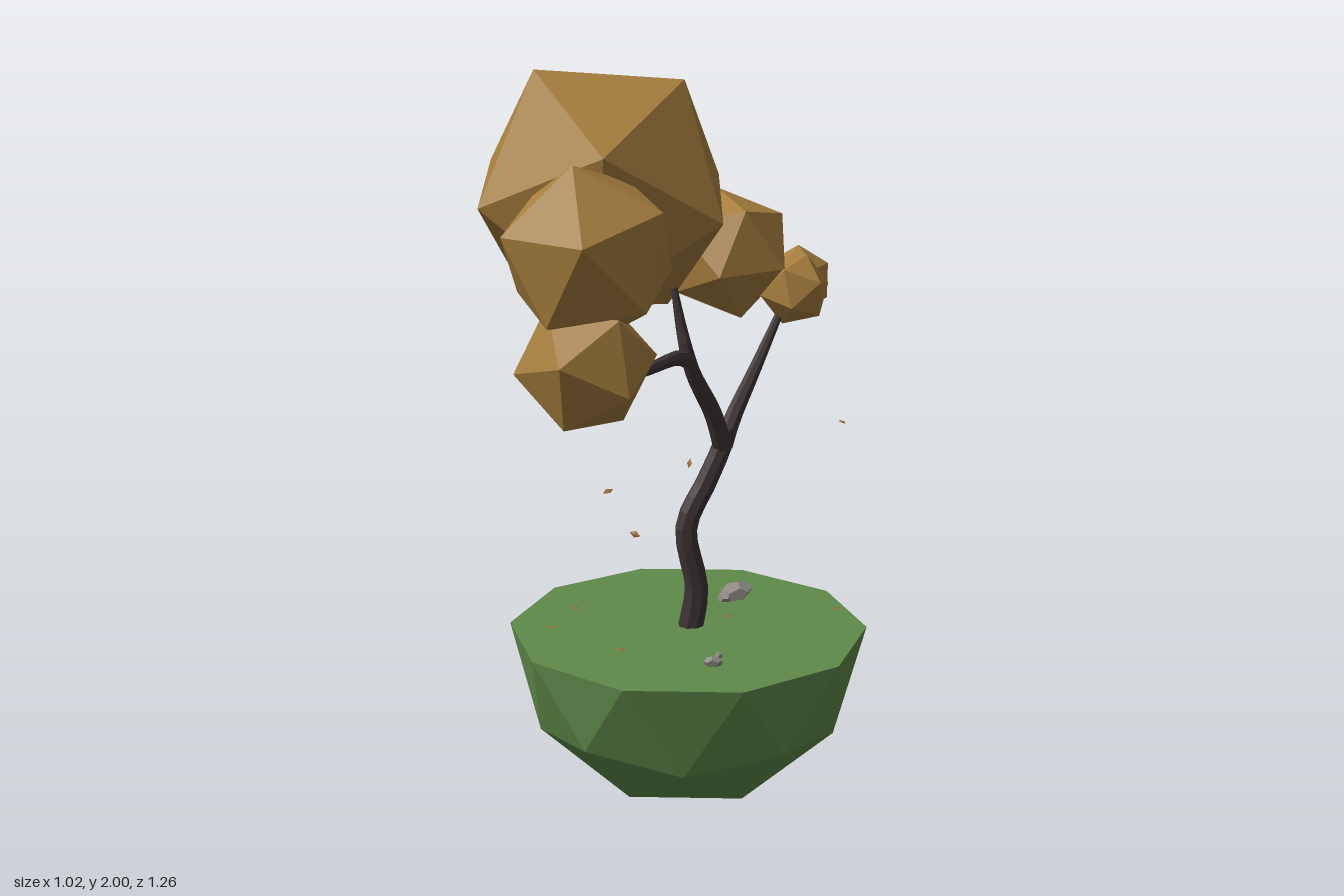
import * as THREE from 'three';
import { ConvexGeometry } from 'three/addons/geometries/ConvexGeometry.js';

const V = (a) => new THREE.Vector3(...a);
const flat = (color, extra = {}) => new THREE.MeshStandardMaterial({ color, flatShading: true, ...extra });

export function createModel() {
  const model = new THREE.Group();
  const grass = flat(0x5f8a4a), bark = flat(0x3d3335), foliage = flat(0xa67e3e);
  const stone = flat(0x8f8a84), leafMat = flat(0x9a6a35, { side: THREE.DoubleSide });
  const GROUND = 0.494;

  const add = (name, geometry, material, parent = model) => {
    const mesh = new THREE.Mesh(geometry, material);
    mesh.name = name;
    parent.add(mesh);
    return mesh;
  };

  // Island: lower half of a once-subdivided icosahedron, with a flat ten-sided top
  const R = 0.494, rim = [new THREE.Vector3(0, -R, 0)];
  const ring = (n, start, r, y) => {
    for (let k = 0; k < n; k++) {
      const a = THREE.MathUtils.degToRad(start + (360 / n) * k);
      rim.push(new THREE.Vector3(Math.cos(a) * r * R, y * R, Math.sin(a) * r * R));
    }
  };
  ring(5, 180, 0.526, -0.851);
  ring(5, 180, 0.894, -0.447);
  ring(5, 216, 0.851, -0.526);
  ring(10, 18, 1, 0);
  add('island', new ConvexGeometry(rim), grass).position.set(0.04, GROUND, -0.046);

  // Trunk and branches: tubes tapering from r0 to r1
  const tree = new THREE.Group();
  tree.name = 'trunkAndBranches';
  model.add(tree);
  const limb = (name, points, r0, r1, segments = 10, sides = 8) => {
    const curve = new THREE.CatmullRomCurve3(points.map(V));
    const geo = new THREE.TubeGeometry(curve, segments, 1, sides);
    const pos = geo.attributes.position, p = new THREE.Vector3();
    for (let i = 0; i < pos.count; i++) {
      const t = Math.floor(i / (sides + 1)) / segments;
      const c = curve.getPointAt(t);
      p.fromBufferAttribute(pos, i).sub(c).multiplyScalar(THREE.MathUtils.lerp(r0, r1, t)).add(c);
      pos.setXYZ(i, p.x, p.y, p.z);
    }
    add(name, geo, bark, tree);
  };
  const fork = [0.122, 1.02, -0.108], crook = [0.065, 1.29, 0.045];
  limb('trunk', [[0.045, 0.48, -0.05], [0.062, 0.6, -0.055], [0.037, 0.78, -0.04],
    [0.085, 0.91, -0.078], fork, [0.122, 1.05, -0.108]], 0.036, 0.027, 14);
  limb('frontBranch', [[0.12, 1.0, -0.1], [0.105, 1.1, -0.058], [0.075, 1.22, 0.015], crook], 0.028, 0.019);
  limb('upperTwig', [[0.067, 1.25, 0.03], crook, [0.05, 1.35, 0.042], [0.03, 1.45, 0.04]], 0.022, 0.009);
  limb('frontTwig', [[0.067, 1.26, 0.03], [0.058, 1.277, 0.085], [0.02, 1.267, 0.2], [-0.02, 1.26, 0.38]], 0.022, 0.01);
  limb('backBranch', [[0.12, 1.0, -0.1], [0.13, 1.06, -0.14], [0.155, 1.17, -0.25],
    [0.185, 1.3, -0.37], [0.2, 1.37, -0.44]], 0.028, 0.009);

  // Foliage: icosahedra turned so that one edge runs between directions a and b
  const crown = new THREE.Group();
  crown.name = 'foliage';
  model.add(crown);
  const clump = (name, centre, r, a, b) => {
    const va = V(a).normalize(), vb = V(b).normalize();
    const x = va.clone().sub(vb).normalize(), y = va.add(vb).normalize();
    const basis = new THREE.Matrix4().makeBasis(x, y, x.clone().cross(y));
    const mesh = add(name, new THREE.IcosahedronGeometry(r, 0), foliage, crown);
    mesh.quaternion.setFromRotationMatrix(basis);
    mesh.position.set(...centre);
  };
  clump('topClump', [-0.162, 1.693, 0.049], 0.359, [-0.348, 0.064, -0.062], [-0.132, 0.307, 0.126]);
  clump('frontClump', [-0.052, 1.587, 0.415], 0.225, [-0.012, 0.217, 0.06], [0.075, 0.03, 0.21]);
  clump('lowerFrontClump', [-0.048, 1.325, 0.45], 0.175, [-0.112, -0.125, -0.06], [0.068, -0.14, -0.06]);
  clump('backClump', [0.04, 1.482, -0.388], 0.186, [-0.047, 0.175, -0.035], [-0.177, 0.03, -0.049]);
  clump('farBackClump', [0.195, 1.39, -0.55], 0.1, [0, 0.095, 0], [-0.02, 0.045, -0.08]);
  clump('smallBackClump', [0.227, 1.387, -0.405], 0.102, [0.02, 0.092, -0.02], [0.09, 0.02, 0.05]);

  // Stones: squashed polyhedra sunk into the ground
  [
    [0.09, -0.32, 0.05, 0.03, 0.06], [0.075, -0.27, 0.022, 0.02, 0.022],
    [0.2, 0.21, 0.016, 0.022, 0.025], [0.196, 0.155, 0.01, 0.013, 0.014],
  ].forEach(([x, z, sx, sy, sz], i) => {
    const mesh = add('stone', new THREE.DodecahedronGeometry(1, 0), stone);
    mesh.position.set(x, GROUND + sy * 0.35, z);
    mesh.scale.set(sx, sy, sz);
    mesh.rotation.set(0.2 * i, 0.9 * i, 0.25);
  });

  // Leaves: small creased diamonds, some drifting down and some on the ground
  const leafGeo = new THREE.OctahedronGeometry(1, 0);
  const lying = GROUND + 0.004;
  [
    [-0.11, 0.83, -0.485], [0.03, 0.87, 0.33], [0.015, 1.02, 0.47], [0.4, 1.045, -0.3], [-0.11, 1.19, -0.31],
    [-0.3, lying, -0.05], [-0.3, lying, 0.11], [0.13, lying, -0.14], [-0.065, lying, 0.2], [0.4, lying, -0.305],
  ].forEach(([x, y, z], i) => {
    const falling = y > 0.6;
    const mesh = add(falling ? 'fallingLeaf' : 'groundLeaf', leafGeo, leafMat);
    mesh.position.set(x, y, z);
    mesh.scale.set(0.009, 0.003, 0.016);
    mesh.rotation.set(i < 2 ? 1.1 : falling ? 0.2 : 0, i * 1.3, falling ? 0.25 : 0);
  });

  return model;
}
